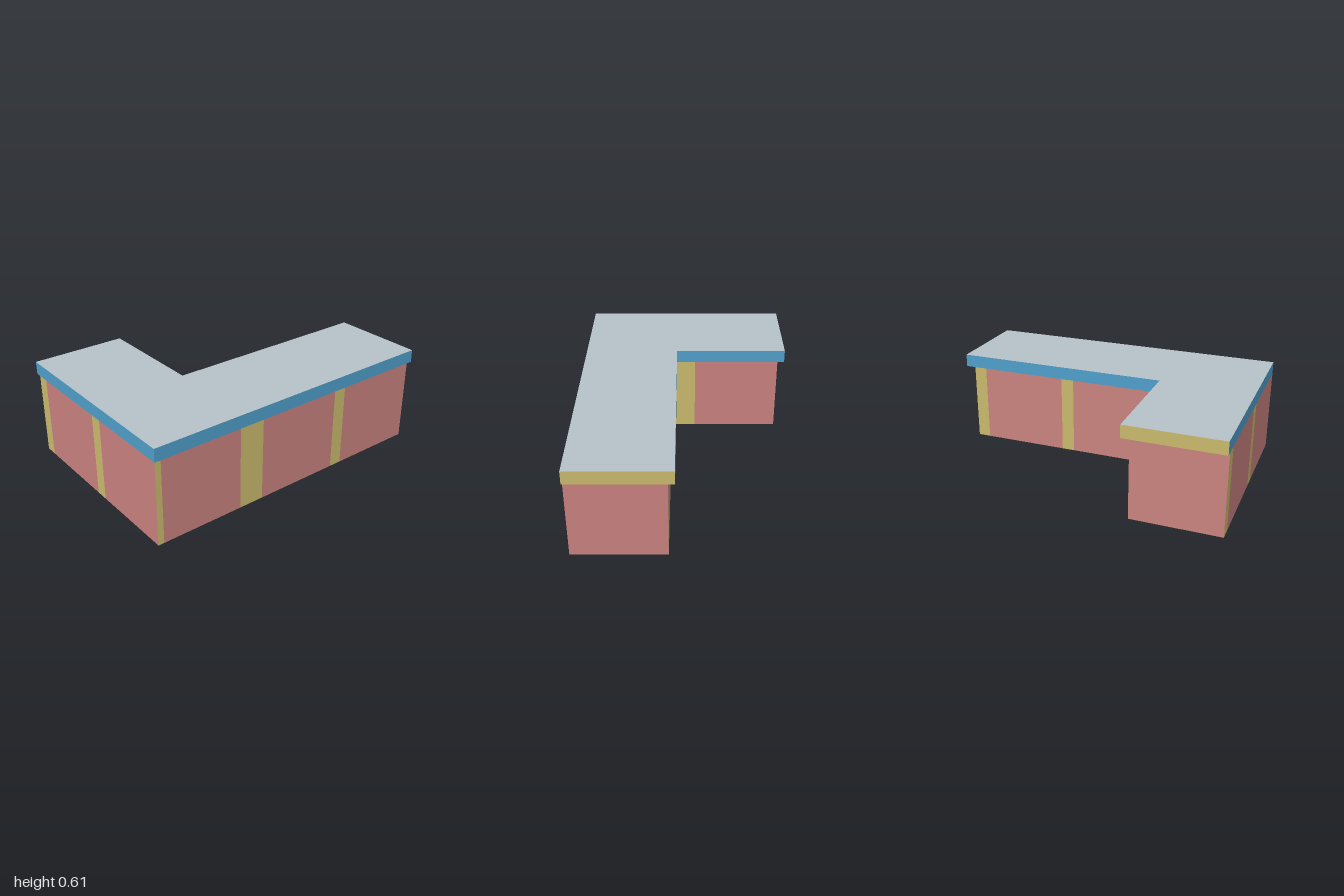
import * as THREE from 'three';

const paint = (name, color) => {
  const m = new THREE.MeshStandardMaterial({ color });
  m.name = name;
  return m;
};

export function createModel() {
  const red = paint('panel red', 0xc9827f);
  const yellow = paint('trim yellow', 0xc9b96c);
  const blue = paint('edge blue', 0x509eca);
  const grey = paint('worktop grey', 0xb6c1c8);
  const dark = paint('base dark', 0x5a6474);

  const model = new THREE.Group();
  model.name = 'cornerCounter';
  const wallTop = 0.53, top = 0.613;

  // L-shaped outlines as [x, z], counterclockwise from above
  const outline = (xEnd, zInner, xInner, zBack) => [
    [-1, 0.67], [xEnd, 0.67], [xEnd, zInner], [xInner, zInner], [xInner, zBack], [-1, zBack],
  ];
  const body = outline(0.96, 0.1, -0.43, -0.63);
  const slab = outline(1, 0.06, -0.39, -0.67);

  const add = (parent, name, geometry, material) => {
    const mesh = new THREE.Mesh(geometry, material);
    mesh.name = name;
    parent.add(mesh);
    return mesh;
  };

  // Upright panel covering the distances s to e along the side from a to b
  const panel = (parent, name, a, b, s, e, y0, y1, material) => {
    const dx = b[0] - a[0], dz = b[1] - a[1], length = Math.hypot(dx, dz);
    const t = (s + e) / 2 / length;
    const mesh = add(parent, name, new THREE.PlaneGeometry(e - s, y1 - y0), material);
    mesh.position.set(a[0] + dx * t, (y0 + y1) / 2, a[1] + dz * t);
    mesh.rotation.y = Math.atan2(-dz, dx);
  };

  // Level face facing up or down
  const level = (parent, name, points, y, up, material) => {
    const sign = up ? -1 : 1;
    const shape = new THREE.Shape(points.map(([x, z]) => new THREE.Vector2(x, sign * z)));
    const geometry = new THREE.ShapeGeometry(shape).rotateX((sign * Math.PI) / 2);
    add(parent, name, geometry, material).position.y = y;
  };

  // Walls: yellow trim spans for each side, red between them
  const sides = [
    ['frontWall', [[0, 0.038], [0.572, 0.738], [1.305, 1.39]]],
    ['rightEndWall', []],
    ['innerBackWall', [[0, 0.085], [0.655, 0.74], [1.305, 1.39]]],
    ['innerSideWall', [[0, 0.162]]],
    ['backEndWall', []],
    ['leftWall', [[0, 0.083], [0.653, 0.735]]],
  ];
  sides.forEach(([name, trims], i) => {
    const wall = new THREE.Group();
    wall.name = name;
    model.add(wall);
    const a = body[i], b = body[(i + 1) % 6];
    const length = Math.hypot(b[0] - a[0], b[1] - a[1]);
    let at = 0;
    for (const [s, e] of [...trims, [length, length]]) {
      if (s - at > 0.001) panel(wall, 'wallPanel', a, b, at, s, 0, wallTop, red);
      if (e - s > 0.001) panel(wall, 'trimStrip', a, b, s, e, 0, wallTop, yellow);
      at = e;
    }
  });
  level(model, 'base', body, 0, false, dark);

  // Worktop: the two arm ends have yellow edges
  const worktop = new THREE.Group();
  worktop.name = 'worktop';
  model.add(worktop);
  slab.forEach((a, i) => {
    const b = slab[(i + 1) % 6];
    const length = Math.hypot(b[0] - a[0], b[1] - a[1]);
    const isEnd = i === 1 || i === 4;
    panel(worktop, isEnd ? 'endEdge' : 'longEdge', a, b, 0, length, wallTop, top, isEnd ? yellow : blue);
  });
  level(worktop, 'worktopSurface', slab, top, true, grey);
  level(worktop, 'worktopUnderside', slab, wallTop, false, grey);

  return model;
}
